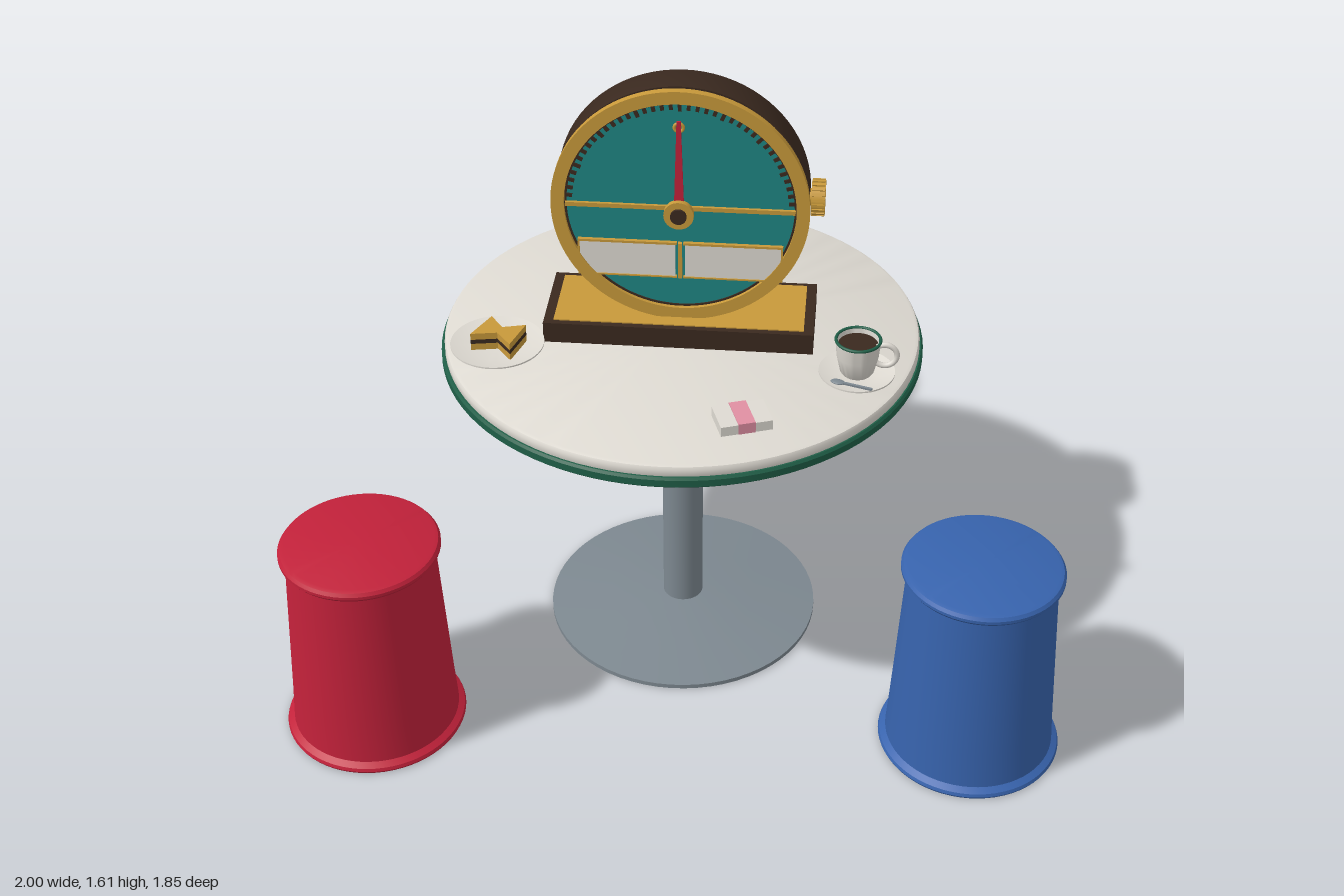
import * as THREE from 'three';
import { toCreasedNormals } from 'three/addons/utils/BufferGeometryUtils.js';

const mat = (name, color, side = THREE.FrontSide) => {
  const m = new THREE.MeshStandardMaterial({ color, side });
  m.name = name;
  return m;
};

export function createModel() {
  const red = mat('red', 0xc2213a), blue = mat('blue', 0x3763ad), cream = mat('cream', 0xdedad2);
  const green = mat('green', 0x1f5e47), steel = mat('steel', 0x7d8890), brown = mat('dark brown', 0x3a291f);
  const gold = mat('gold', 0xc8993a), teal = mat('teal', 0x1f8583), pink = mat('pink', 0xe08fa3);

  const model = new THREE.Group();
  const group = (name, x = 0, y = 0, z = 0, parent = model) => {
    const g = new THREE.Group();
    g.name = name;
    g.position.set(x, y, z);
    parent.add(g);
    return g;
  };
  const add = (parent, name, geo, material, x = 0, y = 0, z = 0) => {
    const m = new THREE.Mesh(geo, material);
    m.name = name;
    m.position.set(x, y, z);
    parent.add(m);
    return m;
  };
  const box = (w, h, d) => new THREE.BoxGeometry(w, h, d);
  const disc = (r, h, seg = 64) => new THREE.CylinderGeometry(r, r, h, seg);
  const discZ = (r, h, seg = 64) => disc(r, h, seg).rotateX(Math.PI / 2);
  const lathe = (pts, seg = 64) => toCreasedNormals(
    new THREE.LatheGeometry(pts.map(p => new THREE.Vector2(...p)), seg), 0.6);
  const ringZ = (outer, inner, depth) => {
    const s = new THREE.Shape().absarc(0, 0, outer, 0, Math.PI * 2);
    s.holes.push(new THREE.Path().absarc(0, 0, inner, 0, Math.PI * 2, true));
    return toCreasedNormals(new THREE.ExtrudeGeometry(s, { depth, bevelEnabled: false, curveSegments: 48 }), 0.6);
  };

  // Pedestal table
  const table = group('table', -0.013, 0, 0.178);
  add(table, 'tableFoot', lathe([[0, 0], [0.364, 0], [0.364, 0.012], [0.2, 0.03], [0.06, 0.042], [0, 0.042]]), steel);
  add(table, 'tablePole', disc(0.054, 0.85, 40), steel, 0, 0.45, 0);
  add(table, 'tableMount', disc(0.11, 0.02), steel, 0, 0.875, 0);
  add(table, 'tableTop', lathe([[0, 0.88], [0.6, 0.88], [0.606, 0.89], [0.606, 0.908], [0.602, 0.915], [0.594, 0.918], [0, 0.918]], 96), cream);
  add(table, 'tableRim', lathe([[0.57, 0.88], [0.57, 0.862], [0.61, 0.862], [0.615, 0.867],
    [0.615, 0.885], [0.61, 0.891], [0.6, 0.891]], 96), green);

  // Three flared stools
  const stoolGeo = lathe([[0, 0], [0.228, 0], [0.231, 0.006], [0.228, 0.014], [0.213, 0.024], [0.207, 0.12],
    [0.185, 0.535], [0.195, 0.54], [0.201, 0.548], [0.201, 0.556], [0.195, 0.564], [0.185, 0.567], [0, 0.567]]);
  [['backStool', red, 0.045, -0.7], ['frontRightStool', red, -0.77, 0.69], ['frontLeftStool', blue, 0.767, 0.643]]
    .forEach(([name, m, x, z]) => add(model, name, stoolGeo, m, x, 0, z));

  // Clock stand
  const stand = group('clockStand', -0.015, 0.918, 0.167);
  add(stand, 'standBlock', box(0.68, 0.056, 0.243), brown, 0, 0.028, 0);
  add(stand, 'standPlate', box(0.63, 0.006, 0.212), gold, 0, 0.056, 0);

  // Round dial case, built around its centre with the front along +z
  const clock = group('roundClock', -0.013, 1.29, 0);
  const caseGeo = lathe([[0, 0], [0.295, 0], [0.308, 0.004], [0.315, 0.016], [0.315, 0.108], [0, 0.108]], 80);
  add(clock, 'case', caseGeo.rotateX(Math.PI / 2), brown, 0, 0, 0.094);
  add(clock, 'bezelSeat', discZ(0.304, 0.016), gold, 0, 0, 0.209);
  add(clock, 'bezel', ringZ(0.318, 0.285, 0.02), gold, 0, 0, 0.217);
  add(clock, 'dialFace', discZ(0.286, 0.008), teal, 0, 0, 0.22);
  add(clock, 'dialShadowRing', ringZ(0.286, 0.28, 0.006), brown, 0, 0, 0.221);

  // Scale marks over the upper half
  for (let i = 0; i <= 40; i++) {
    const a = Math.PI * i / 40, long = i % 5 === 0;
    const tick = add(clock, 'scaleMark', box(long ? 0.024 : 0.016, 0.009, 0.004), brown,
      Math.cos(a) * 0.274, Math.sin(a) * 0.274, 0.226);
    tick.rotation.z = a;
  }
  add(clock, 'crossBar', box(0.565, 0.011, 0.008), gold, 0, 0, 0.23);

  // Twin windows in the lower half
  for (const s of [-1, 1]) {
    const x = s * 0.131;
    add(clock, 'window', box(0.238, 0.092, 0.006), cream, x, -0.147, 0.231);
    add(clock, 'windowTopTrim', box(0.246, 0.006, 0.01), gold, x, -0.099, 0.232);
    add(clock, 'windowBottomTrim', box(0.246, 0.004, 0.01), gold, x, -0.195, 0.232);
    add(clock, 'windowSideTrim', box(0.005, 0.1, 0.01), gold, s * 0.252, -0.147, 0.232);
  }
  add(clock, 'windowDivider', box(0.01, 0.1, 0.01), gold, 0, -0.147, 0.233);

  // Needle and hub
  const needle = new THREE.Shape([[-0.012, 0.02], [0.012, 0.02], [0.005, 0.25], [-0.005, 0.25]]
    .map(p => new THREE.Vector2(...p)));
  add(clock, 'needle', new THREE.ExtrudeGeometry(needle, { depth: 0.006, bevelEnabled: false }), red, 0, 0, 0.252);
  add(clock, 'needleTip', new THREE.TorusGeometry(0.011, 0.004, 8, 24), gold, 0, 0.232, 0.252);
  add(clock, 'hubStem', discZ(0.02, 0.04, 32), gold, 0, 0, 0.24);
  add(clock, 'hub', discZ(0.037, 0.016, 40), gold, 0, 0, 0.263);
  add(clock, 'hubCap', discZ(0.02, 0.008, 32), brown, 0, 0, 0.274);

  // Ribbed side knob
  const knob = group('sideKnob', 0.335, 0, 0.147, clock);
  add(knob, 'knobStem', disc(0.022, 0.04, 32).rotateZ(Math.PI / 2), gold, -0.02);
  add(knob, 'knobBody', disc(0.043, 0.034, 40).rotateZ(Math.PI / 2), gold);
  for (let i = 0; i < 20; i++) {
    const a = i * Math.PI / 10;
    add(knob, 'knobRib', box(0.032, 0.007, 0.007), gold, 0, Math.cos(a) * 0.043, Math.sin(a) * 0.043).rotation.x = a;
  }

  // Shared dish profile for plate and saucer
  const dish = r => lathe([[0, 0], [r * 0.55, 0], [r, 0.014], [r, 0.018], [r * 0.6, 0.007], [0, 0.007]], 48);

  // Plate with two triangular sandwiches
  const plate = group('sandwichPlate', -0.466, 0.918, 0.325);
  add(plate, 'plate', dish(0.118), cream);
  const wedges = [[[-0.022, -0.058], [-0.062, 0.028], [0.028, 0.012]], [[0.07, -0.025], [0.043, 0.065], [-0.012, -0.004]]];
  for (const pts of wedges) {
    const s = new THREE.Shape(pts.map(([x, z]) => new THREE.Vector2(x, -z)));
    [[gold, 0.007, 0.018], [brown, 0.025, 0.012], [gold, 0.037, 0.018]].forEach(([m, y, depth], i) =>
      add(plate, i === 1 ? 'filling' : 'breadSlice',
        new THREE.ExtrudeGeometry(s, { depth, bevelEnabled: false }).rotateX(-Math.PI / 2), m, 0, y, 0));
  }

  // Cup and saucer
  const cup = group('cupAndSaucer', 0.436, 0.918, 0.374);
  add(cup, 'saucer', dish(0.094), cream);
  add(cup, 'cup', lathe([[0, 0.012], [0.036, 0.012], [0.042, 0.02], [0.052, 0.065], [0.056, 0.108],
    [0.051, 0.108], [0.047, 0.07], [0, 0.07]], 40), cream);
  add(cup, 'cupRim', new THREE.TorusGeometry(0.0545, 0.004, 8, 48).rotateX(Math.PI / 2), green, 0, 0.108, 0);
  add(cup, 'coffee', disc(0.049, 0.006, 40), brown, 0, 0.092, 0);
  add(cup, 'cupHandle', new THREE.TorusGeometry(0.03, 0.007, 10, 28), cream, 0.066, 0.066, 0);
  const spoon = group('spoon', -0.012, 0.02, 0.068, cup);
  spoon.rotation.y = -0.3;
  add(spoon, 'spoonHandle', box(0.085, 0.005, 0.007), steel, 0.01);
  add(spoon, 'spoonBowl', new THREE.SphereGeometry(0.014, 16, 10).scale(1.3, 0.3, 0.8), steel, -0.035);

  // Small wrapped packet
  const packet = group('packet', 0.168, 0.918, 0.592);
  packet.rotation.y = 0.33;
  add(packet, 'packetBody', box(0.128, 0.026, 0.09), cream, 0, 0.013, 0);
  add(packet, 'packetBand', box(0.042, 0.029, 0.093), pink, 0, 0.0145, 0);

  return model;
}
